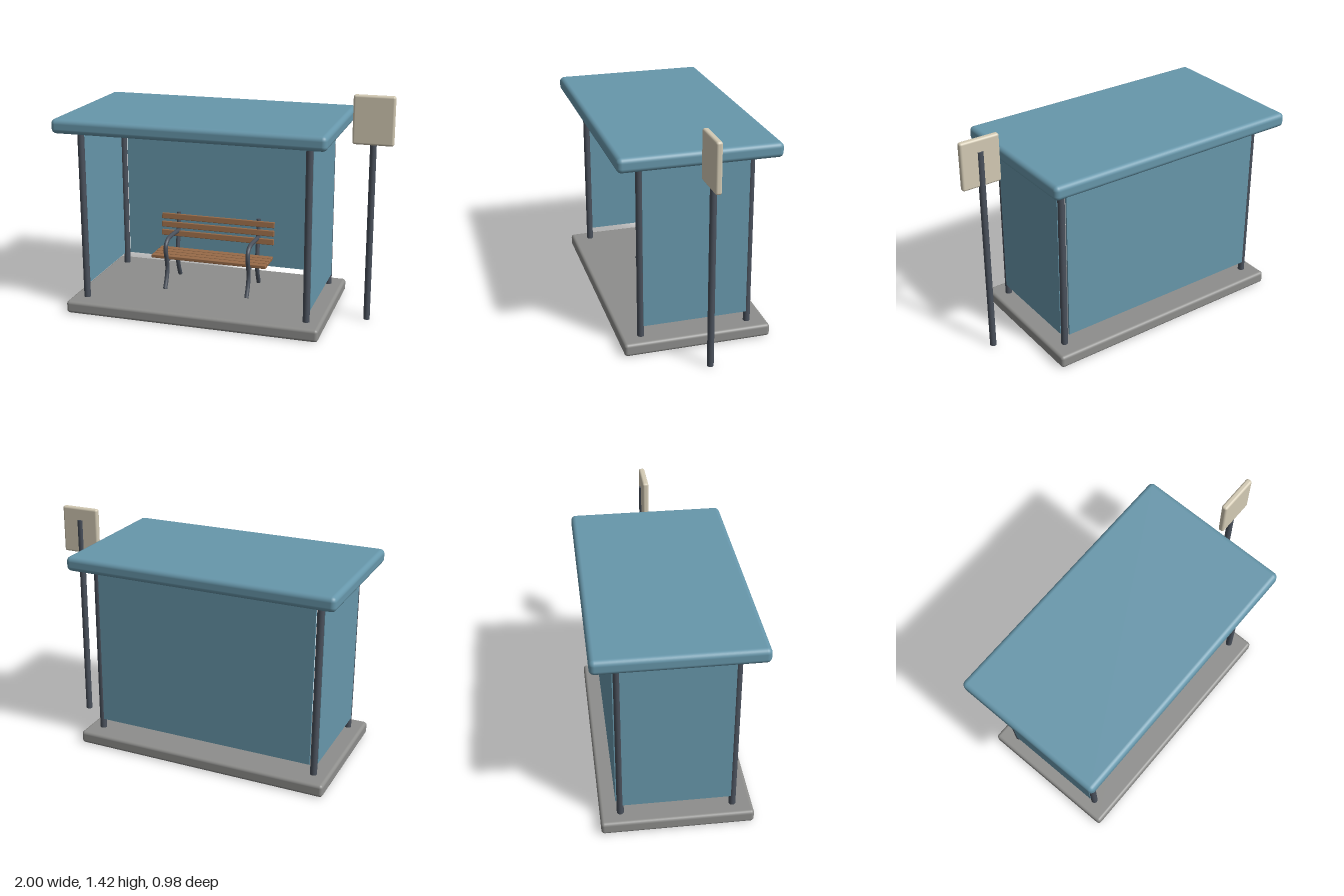
import * as THREE from 'three';
import { RoundedBoxGeometry } from 'three/addons/geometries/RoundedBoxGeometry.js';

const mat = (name, color) => {
  const m = new THREE.MeshStandardMaterial({ color });
  m.name = name;
  return m;
};

export function createModel() {
  const blue = mat('shelter blue', 0x6797ab);
  const steel = mat('dark steel', 0x4a515c);
  const concrete = mat('concrete grey', 0x8e8e8c);
  const wood = mat('bench wood', 0x986b48);
  const cream = mat('sign cream', 0xd3cab4);

  const model = new THREE.Group();
  model.name = 'busShelter';

  const add = (parent, name, geometry, material, x = 0, y = 0, z = 0) => {
    const mesh = new THREE.Mesh(geometry, material);
    mesh.name = name;
    mesh.position.set(x, y, z);
    parent.add(mesh);
    return mesh;
  };
  const rounded = (w, h, d, r) => new RoundedBoxGeometry(w, h, d, 4, r);
  const pole = (parent, name, r, y0, y1, x, z) =>
    add(parent, name, new THREE.CylinderGeometry(r, r, y1 - y0, 20), steel, x, (y0 + y1) / 2, z);

  // Shelter: slab, roof, corner posts and wall panels, centred on its own axis
  const shelter = new THREE.Group();
  shelter.name = 'shelter';
  shelter.position.x = -0.155;
  model.add(shelter);

  add(shelter, 'baseSlab', rounded(1.625, 0.08, 0.91, 0.02), concrete, 0, 0.04, 0);
  add(shelter, 'roof', rounded(1.69, 0.09, 0.975, 0.03), blue, 0, 1.215, 0);
  for (const sx of [-1, 1]) {
    for (const sz of [-1, 1]) pole(shelter, 'cornerPost', 0.021, 0.07, 1.18, sx * 0.717, sz * 0.335);
    add(shelter, 'sidePanel', new THREE.BoxGeometry(0.012, 1.02, 0.645), blue, sx * 0.732, 0.66, 0);
  }
  add(shelter, 'backPanel', new THREE.BoxGeometry(1.395, 1.02, 0.012), blue, 0, 0.66, -0.355);

  // Bench
  const bench = new THREE.Group();
  bench.name = 'bench';
  shelter.add(bench);

  // Bent tube with closed ends, given as [z, y] points
  const bentTube = (name, x, points) => {
    const curve = new THREE.CatmullRomCurve3(points.map(([z, y]) => new THREE.Vector3(x, y, z)));
    add(bench, name, new THREE.TubeGeometry(curve, 40, 0.014, 12), steel);
    for (const t of [0, 1]) {
      const cap = add(bench, name + 'End', new THREE.CircleGeometry(0.014, 12), steel);
      const dir = curve.getTangent(t).multiplyScalar(t ? 1 : -1);
      cap.position.copy(curve.getPoint(t));
      cap.quaternion.setFromUnitVectors(new THREE.Vector3(0, 0, 1), dir);
    }
  };
  for (const x of [-0.275, 0.275]) {
    bentTube('frontLegAndArmrest', x, [
      [0.1, 0.09], [0.065, 0.16], [0.05, 0.22], [0.06, 0.28], [0.075, 0.34],
      [0.065, 0.385], [0.025, 0.41], [-0.07, 0.412], [-0.18, 0.405],
    ]);
    bentTube('backLegAndUpright', x, [
      [-0.198, 0.09], [-0.17, 0.15], [-0.153, 0.21], [-0.155, 0.28], [-0.175, 0.4], [-0.188, 0.53],
    ]);
    add(bench, 'seatRail', new THREE.BoxGeometry(0.022, 0.018, 0.2), steel, x, 0.272, -0.05);
  }

  // Wooden slats
  for (let i = 0; i < 4; i++)
    add(bench, 'seatSlat', rounded(0.77, 0.022, 0.04, 0.004), wood, 0, 0.288, 0.028 - i * 0.049);
  for (let i = 0; i < 3; i++) {
    const slat = add(bench, 'backSlat', rounded(0.77, 0.038, 0.02, 0.004), wood, 0, 0.39 + i * 0.056, -0.158 - i * 0.006);
    slat.rotation.x = -0.11;
  }

  // Stop sign beside the shelter
  const sign = new THREE.Group();
  sign.name = 'stopSign';
  sign.position.x = 0.875;
  model.add(sign);
  pole(sign, 'signPole', 0.02, 0, 1.34, 0, 0);
  add(sign, 'signBoard', rounded(0.25, 0.3, 0.038, 0.014), cream, 0, 1.27, 0.011);

  return model;
}
